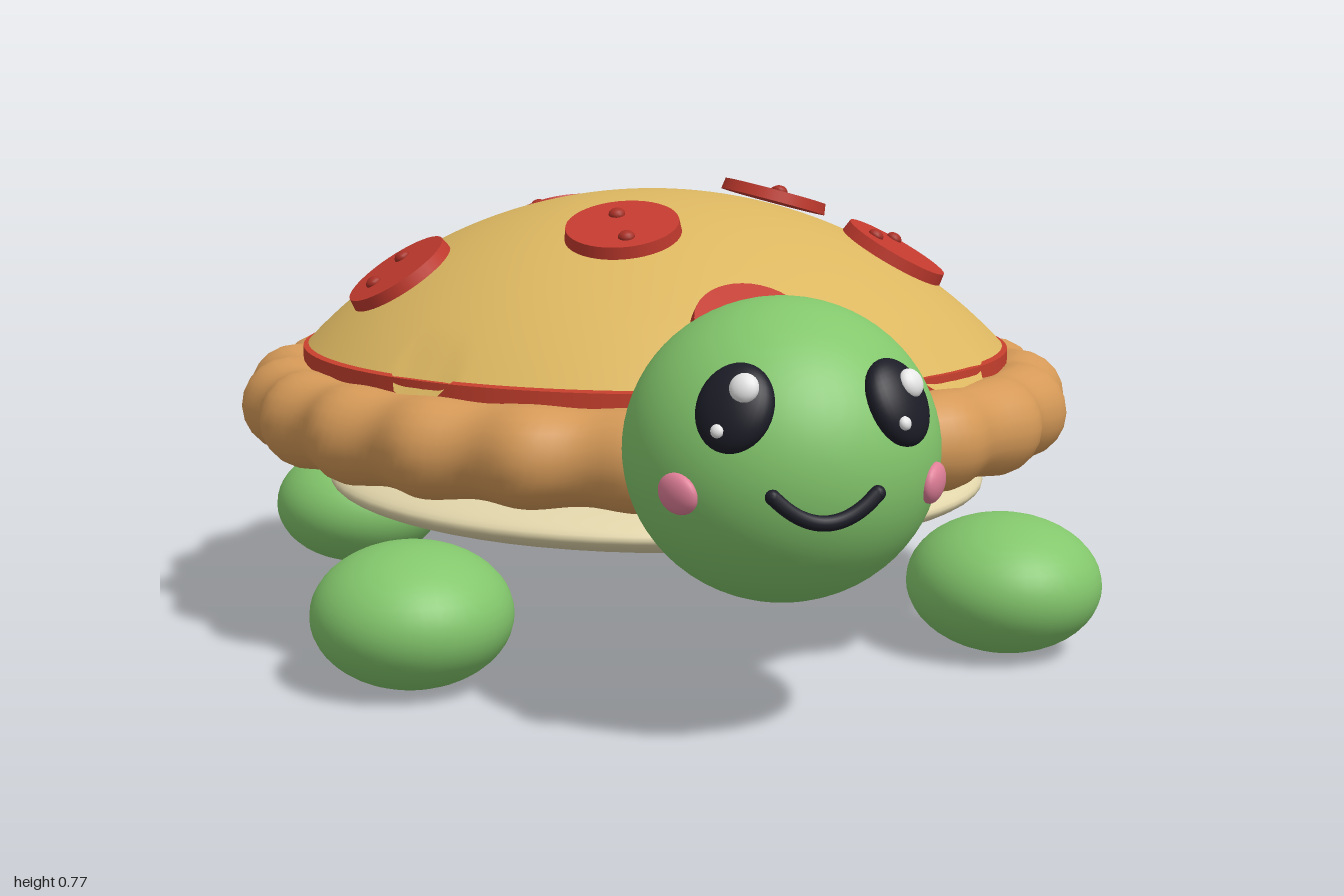
import * as THREE from 'three';
import { mergeVertices } from 'three/addons/utils/BufferGeometryUtils.js';

const mat = (name, color) => {
  const m = new THREE.MeshStandardMaterial({ color });
  m.name = name;
  return m;
};

// Shell outline: an ellipse centred at z = CZ; the dome is a stretched spherical cap
const CZ = -0.105, RX = 0.615, RZ = 0.675, K = RX / RZ;
const TOP = 0.75, R = 0.845;
const domeRise = (r) => Math.sqrt(R * R - r * r);
const domeY = (r) => TOP - R + domeRise(r);

// Weld seams and rebuild smooth normals
function smooth(geo) {
  geo.deleteAttribute('uv');
  geo.deleteAttribute('normal');
  const g = mergeVertices(geo, 1e-5);
  g.computeVertexNormals();
  return g;
}

export function createModel() {
  const green = mat('skinGreen', 0x83c76c);
  const cheeseMat = mat('cheeseYellow', 0xdcb761);
  const crustMat = mat('crustBrown', 0xd69a58);
  const sauceMat = mat('sauceRed', 0xc8402e);
  const pepMat = mat('pepperoniRed', 0xc23a2e);
  const dotMat = mat('darkRed', 0xa83026);
  const cream = mat('bellyCream', 0xe2d6ab);
  const black = mat('black', 0x1b1c26);
  const white = mat('white', 0xf4f4f4);
  const pink = mat('cheekPink', 0xe07f98);

  const model = new THREE.Group();
  model.name = 'pizzaTurtle';
  const add = (name, geo, material, pos = [0, 0, 0], parent = model) => {
    const m = new THREE.Mesh(geo, material);
    m.name = name;
    m.position.set(...pos);
    parent.add(m);
    return m;
  };
  const ball = (name, rx, ry, rz, material, pos, parent = model, seg = 40) => {
    const g = new THREE.SphereGeometry(1, seg, Math.round(seg * 0.6)).scale(rx, ry, rz);
    return add(name, g, material, pos, parent);
  };

  // Scalloped crust ring
  const crust = new THREE.TorusGeometry(1, 0.5, 20, 240);
  const cp = crust.attributes.position, cuv = crust.attributes.uv;
  for (let i = 0; i < cp.count; i++) {
    const u = cuv.getX(i) * Math.PI * 2, v = cuv.getY(i) * Math.PI * 2;
    const wave = Math.cos(u * 24);
    const t = 0.078 + 0.003 * wave, out = 0.008 * wave + t * Math.cos(v);
    cp.setXYZ(i, (0.645 + out) * Math.cos(u), t * Math.sin(v), -(0.695 + out) * Math.sin(u));
  }
  add('crustRing', smooth(crust), crustMat, [0, 0.383, CZ]);

  // Crust base and sauce layer
  const disc = (h) => new THREE.CylinderGeometry(1, 1, h, 96);
  add('crustBase', disc(0.11).scale(0.62, 1, 0.67), crustMat, [0, 0.39, CZ]);
  add('sauce', disc(0.03).scale(RX + 0.009, 1, RZ + 0.009), sauceMat, [0, 0.466, CZ]);

  // Cheese dome with a few drips over the rim: [angle, half width]
  const drips = [[0.66, 0.14], [-0.87, 0.08], [2.41, 0.07], [-2.14, 0.2]];
  const profile = [];
  for (let i = 0; i <= 32; i++) {
    const r = RX * (1 - i / 32);
    profile.push(new THREE.Vector2(r, domeY(r)));
  }
  const cheese = new THREE.LatheGeometry(profile, 180);
  const p = cheese.attributes.position;
  for (let i = 0; i < p.count; i++) {
    const x = p.getX(i), z = p.getZ(i), r = Math.hypot(x, z), a = Math.atan2(x, z);
    const edge = THREE.MathUtils.smoothstep(r / RX, 0.9, 1);
    let d = 0;
    for (const [c, w] of drips) d = Math.max(d, 1 - THREE.MathUtils.smoothstep(Math.abs(a - c), w * 0.8, w * 1.15));
    const s = 1 + 0.035 * d * edge;
    p.setXYZ(i, x * s, p.getY(i) - 0.03 * d * edge, (z * s) / K);
  }
  const cheeseMesh = add('cheeseDome', smooth(cheese), cheeseMat, [0, 0, CZ]);
  cheeseMesh.material.side = THREE.DoubleSide;

  // Toppings stand on the dome, turned to its slope
  const onDome = (name, x, z, lift) => {
    const g = new THREE.Group(), dz = (z - CZ) * K, r = Math.hypot(x, dz);
    const n = new THREE.Vector3(x, domeRise(r), dz * K).normalize();
    g.name = name;
    g.position.set(x, domeY(r), z).addScaledVector(n, lift);
    g.quaternion.setFromUnitVectors(new THREE.Vector3(0, 1, 0), n);
    model.add(g);
    return g;
  };

  // Pepperoni: x, z, then two dot offsets
  const slices = [
    [-0.1, -0.5, 0.01, -0.04, -0.045, 0.055], [0.3, -0.545, -0.04, -0.04, 0.045, 0],
    [0.225, -0.12, 0.02, -0.06, -0.005, 0.045], [0.375, 0.11, 0.015, -0.07, -0.045, 0],
    [-0.12, 0.21, 0, -0.04, -0.005, 0.055], [-0.46, 0, -0.045, 0, 0.02, -0.04],
    [0.025, 0.485, -0.03, 0.015, 0.045, 0.015],
  ];
  for (const [x, z, ...dots] of slices) {
    const slice = onDome('pepperoni', x, z, 0.014);
    add('slice', new THREE.CylinderGeometry(0.094, 0.097, 0.02, 40), pepMat, [0, 0, 0], slice);
    for (let i = 0; i < 4; i += 2) {
      ball('pepperoniDot', 0.014, 0.01, 0.014, dotMat, [dots[i], 0.011, dots[i + 1]], slice, 14);
    }
  }

  // Basil leaves
  for (const [x, z, turn] of [[-0.445, -0.12, 0], [0.345, -0.475, -0.6]]) {
    const leaf = onDome('leaf', x, z, 0.012);
    ball('leafBlade', 0.032, 0.008, 0.075, green, [0, 0, 0], leaf, 24).rotation.y = turn;
  }

  // Belly and legs
  ball('belly', 0.583, 0.073, 0.642, cream, [0, 0.247, -0.095], model, 64);
  for (const side of [1, -1]) {
    for (const [name, z] of [['frontLeg', 0.37], ['backLeg', -0.557]]) {
      ball(name, 0.161, 0.115, 0.172, green, [side * 0.495, 0.115, z]);
    }
  }

  // Teardrop tail
  const tailPts = [[0, -0.045], [0.018, -0.041], [0.034, -0.027], [0.043, 0], [0.039, 0.03], [0.024, 0.085], [0, 0.17]];
  const tail = add('tail', new THREE.LatheGeometry(tailPts.map(([x, y]) => new THREE.Vector2(x, y)), 28), green, [0, 0.157, -0.83]);
  tail.quaternion.setFromUnitVectors(new THREE.Vector3(0, 1, 0), new THREE.Vector3(0, 0.17, -1).normalize());

  // Neck and head
  const neck = add('neck', new THREE.CylinderGeometry(0.1, 0.1, 0.22, 28), green, [0, 0.36, 0.61]);
  neck.rotation.x = 1.3;
  const H = new THREE.Vector3(0, 0.425, 0.748), hr = new THREE.Vector3(0.23, 0.221, 0.23);
  ball('head', hr.x, hr.y, hr.z, green, H.toArray(), model, 56);

  // Face parts: placed on the head surface by x and y
  const headZ = (x, y) => H.z + hr.z * Math.sqrt(1 - (x / hr.x) ** 2 - ((y - H.y) / hr.y) ** 2);
  const onHead = (name, x, y) => {
    const g = new THREE.Group();
    g.name = name;
    g.position.set(x, y, headZ(x, y));
    g.quaternion.setFromUnitVectors(new THREE.Vector3(0, 0, 1), g.position.clone().sub(H).normalize());
    model.add(g);
    return g;
  };
  for (const side of [1, -1]) {
    const eye = onHead('eye', side * 0.115, 0.515);
    ball('eyeball', 0.055, 0.064, 0.028, black, [0, 0, 0], eye, 32).rotation.z = side * 0.3;
    ball('eyeGlint', 0.021, 0.021, 0.014, white, [side * -0.006 + 0.014, 0.02, 0.024], eye, 18);
    ball('smallGlint', 0.01, 0.01, 0.008, white, [-0.018, -0.036, 0.02], eye, 14);
    ball('cheek', 0.034, 0.03, 0.016, pink, [0, 0, 0], onHead('cheekSpot', side * 0.184, 0.392), 24);
  }

  // Smile
  const smile = [];
  for (let i = -4; i <= 4; i++) {
    const x = i * 0.0185, y = 0.361 + 0.038 * (i / 4) ** 2;
    smile.push(new THREE.Vector3(x, y, headZ(x, y) + 0.006));
  }
  add('mouth', new THREE.TubeGeometry(new THREE.CatmullRomCurve3(smile), 32, 0.011, 10), black);
  for (const end of [smile[0], smile[8]]) ball('mouthCorner', 0.011, 0.011, 0.011, black, end.toArray(), model, 12);

  return model;
}
